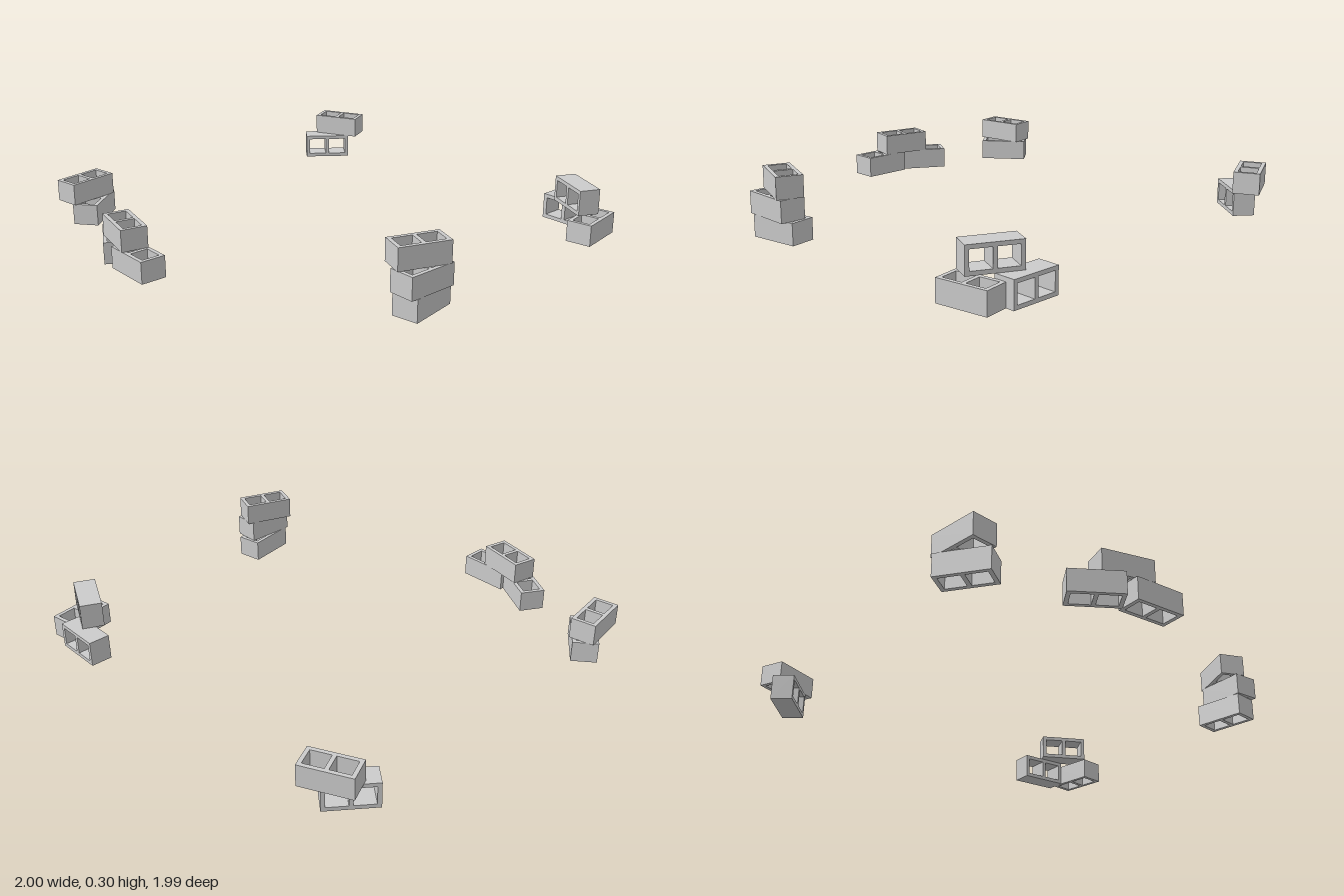
import * as THREE from 'three';

const LENGTH = 0.234, WIDTH = 0.119, DEPTH = 0.1, WALL = 0.018;

function rectangle(path, x, y, w, h) {
  path.moveTo(x - w / 2, y - h / 2);
  path.lineTo(x + w / 2, y - h / 2);
  path.lineTo(x + w / 2, y + h / 2);
  path.lineTo(x - w / 2, y + h / 2);
  path.closePath();
  return path;
}

// Hollow building block: long axis on x, two square cores running along z
function blockGeometry() {
  const shape = rectangle(new THREE.Shape(), 0, 0, LENGTH, WIDTH);
  const coreLength = (LENGTH - 3 * WALL) / 2;
  for (const side of [-1, 1]) {
    shape.holes.push(rectangle(new THREE.Path(), side * (coreLength + WALL) / 2, 0, coreLength, WIDTH - 2 * WALL));
  }
  const geometry = new THREE.ExtrudeGeometry(shape, { depth: DEPTH, bevelEnabled: false });
  geometry.translate(0, 0, -DEPTH / 2);
  return geometry;
}

// Each block: [x, bottom y, z, turn in degrees, cores horizontal]
const PILES = {
  frontPile: [
    [-0.296, 0, 0.913, 10, false],
    [-0.312, 0.1, 0.928, 0, false],
    [-0.305, 0.2, 0.898, -20, false],
  ],
  frontLeftPile: [
    [0.851, 0, 0.881, 9.5, false],
    [0.948, 0, 0.692, 90, true],
    [0.859, WIDTH, 0.788, 65, true],
  ],
  backLeftPile: [
    [0.792, 0, -0.886, -37.5, true],
    [0.872, WIDTH, -0.866, -64, false],
  ],
  backRightPile: [
    [-0.728, 0, -0.859, 39, false],
    [-0.75, 0.1, -0.888, 9.5, false],
  ],
  rightWall: [
    [-0.937, 0, -0.134, 90, false],
    [-0.892, 0, -0.38, 60, false],
    [-0.917, 0.1, -0.262, 78, false],
  ],
};

export function createModel() {
  const model = new THREE.Group();
  model.name = 'blockPiles';
  const geometry = blockGeometry();
  const material = new THREE.MeshStandardMaterial({ color: 0xcccccc });

  for (const [name, blocks] of Object.entries(PILES)) {
    const pile = new THREE.Group();
    pile.name = name;
    blocks.forEach(([x, y, z, turn, onSide], i) => {
      const block = new THREE.Mesh(geometry, material);
      block.name = `hollowBlock${i + 1}`;
      block.position.set(x, y + (onSide ? WIDTH : DEPTH) / 2, z);
      // Tip the block first, then turn it about the vertical
      block.rotation.set(onSide ? 0 : -Math.PI / 2, THREE.MathUtils.degToRad(turn), 0, 'YXZ');
      pile.add(block);
    });
    model.add(pile);
  }
  return model;
}
